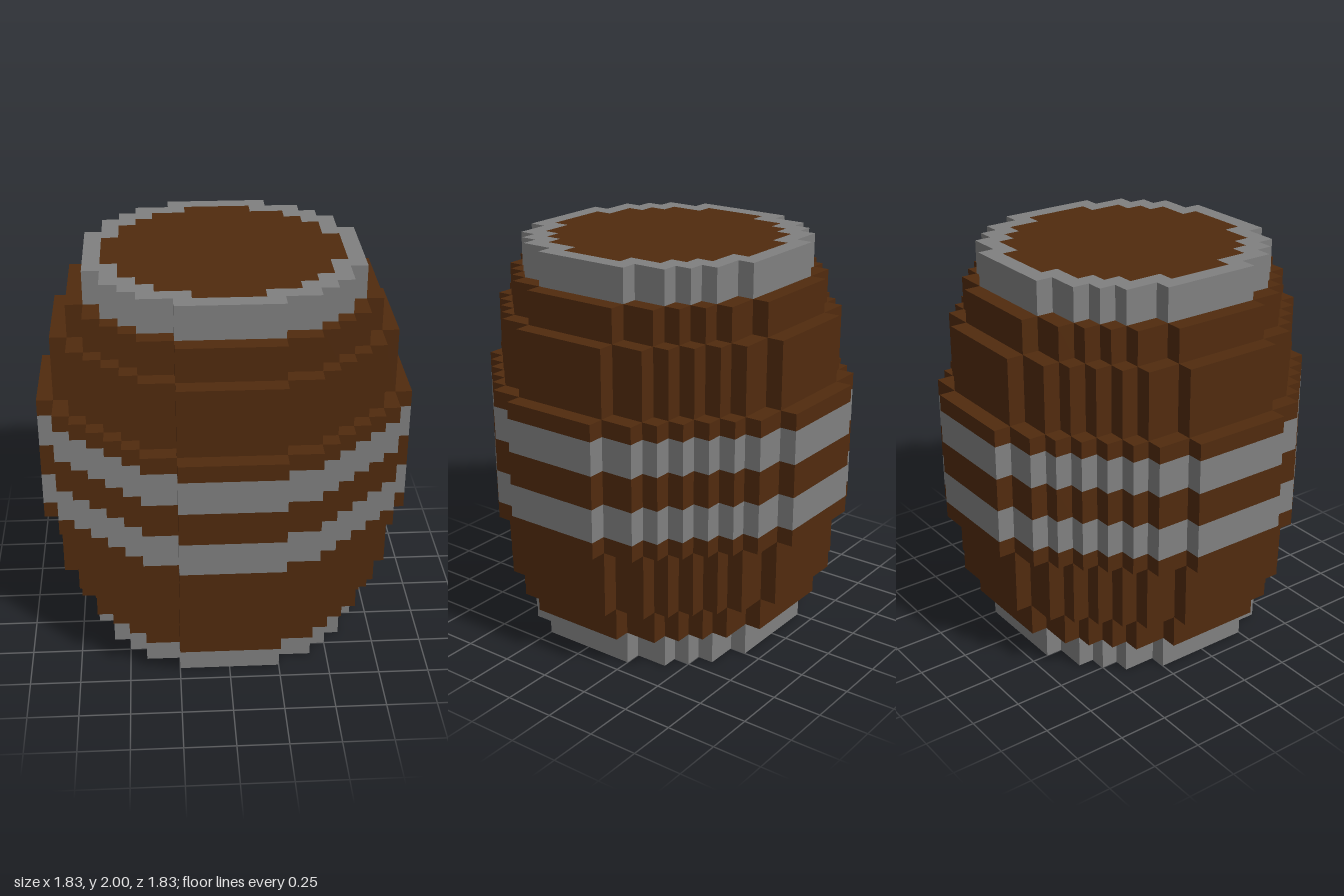
import * as THREE from 'three';

const U = 1 / 12; // one block

// Corners of a stepped disc: radius r, flat side half-width a (in blocks)
function steppedOutline(r, a) {
  const corners = [[r, a]];
  for (let z = a + 2; z < r; z++) corners.push([r + a + 1 - z, z]);
  corners.push([a, r]);
  const quadrant = [];
  corners.forEach(([x, z], i) => {
    quadrant.push([x, z]);
    if (i < corners.length - 1) quadrant.push([corners[i + 1][0], z]);
  });
  const points = [];
  let turn = quadrant;
  for (let q = 0; q < 4; q++) {
    turn.forEach(([x, z]) => points.push(new THREE.Vector2(x * U, z * U)));
    turn = turn.map(([x, z]) => [-z, x]);
  }
  return points;
}

export function createModel() {
  const wood = new THREE.MeshStandardMaterial({ color: 0x512b0e });
  wood.name = 'wood';
  const iron = new THREE.MeshStandardMaterial({ color: 0x808080 });
  iron.name = 'iron';

  const barrel = new THREE.Group();
  barrel.name = 'barrel';

  // Upright slab from block height y0 to y1, optionally with a hole
  function addLayer(name, material, y0, y1, outline, hole) {
    const shape = new THREE.Shape(outline);
    if (hole) shape.holes.push(new THREE.Path(hole));
    const geometry = new THREE.ExtrudeGeometry(shape, { depth: (y1 - y0) * U, bevelEnabled: false });
    geometry.rotateX(-Math.PI / 2);
    const mesh = new THREE.Mesh(geometry, material);
    mesh.name = name;
    mesh.position.y = y0 * U;
    barrel.add(mesh);
  }

  // Iron rims with flush wooden lids at both ends
  const lid = steppedOutline(7, 2);
  for (const [end, y] of [['bottom', 0], ['top', 22]]) {
    addLayer(end + 'Rim', iron, y, y + 2, steppedOutline(8, 3), lid);
    addLayer(end + 'Lid', wood, y, y + 2, lid);
  }

  // Bulging body of staves, with two hoops flush around the belly
  const body = [
    ['lowerStaves', wood, 2, 4, 9],
    ['lowerShoulder', wood, 4, 8, 10],
    ['lowerBelly', wood, 8, 9, 11],
    ['lowerHoop', iron, 9, 11, 11],
    ['middleBelly', wood, 11, 13, 11],
    ['upperHoop', iron, 13, 15, 11],
    ['upperBelly', wood, 15, 16, 11],
    ['upperShoulder', wood, 16, 20, 10],
    ['upperStaves', wood, 20, 22, 9],
  ];
  for (const [name, material, y0, y1, r] of body) {
    addLayer(name, material, y0, y1, steppedOutline(r, 3));
  }
  return barrel;
}
